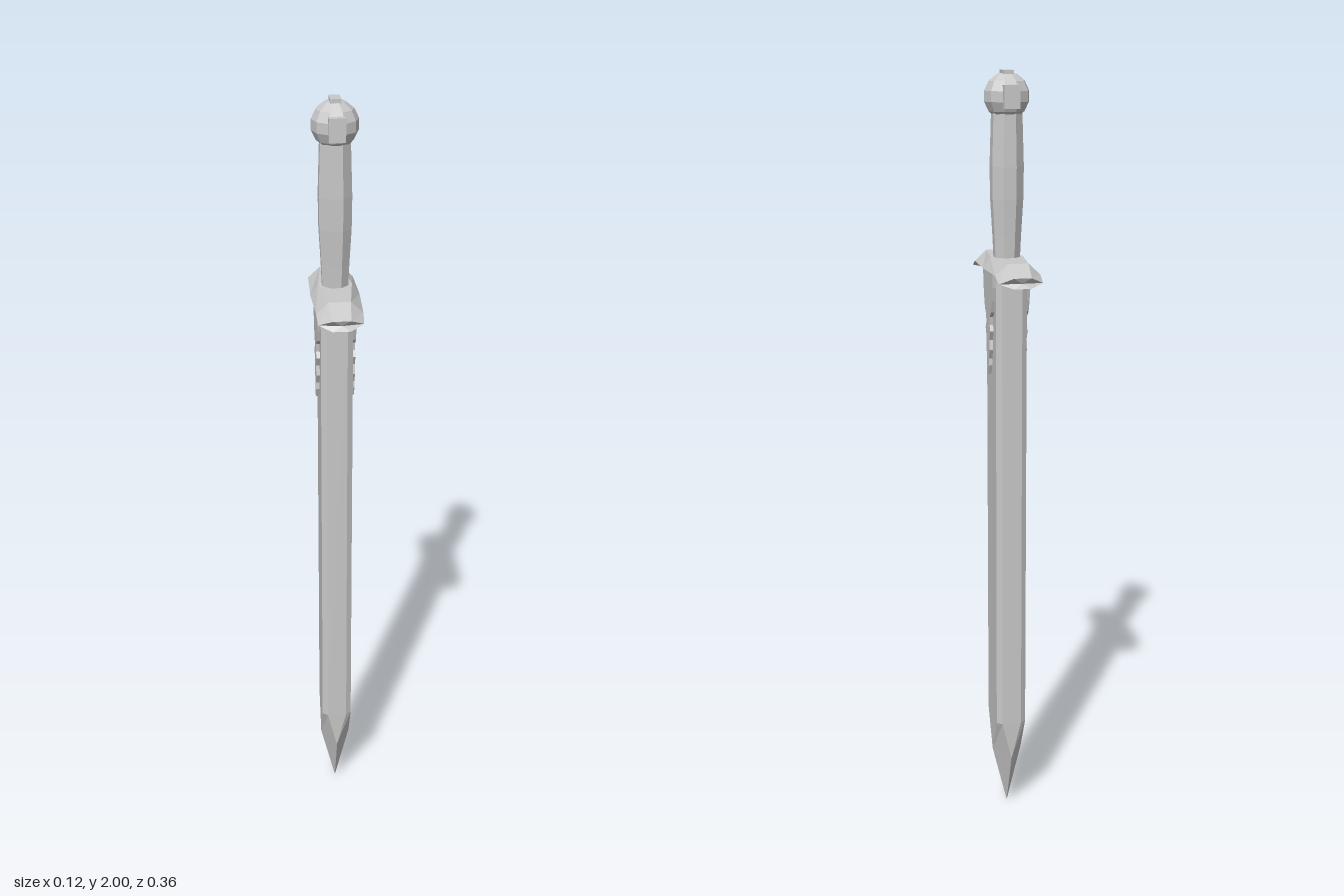
import * as THREE from 'three';

const steel = new THREE.MeshStandardMaterial({ color: 0xc8c8c8, flatShading: true });
steel.name = 'steel';

function add(group, name, geometry) {
  const mesh = new THREE.Mesh(geometry, steel);
  mesh.name = name;
  group.add(mesh);
  return mesh;
}

// Joins equal-length rings of [x, y, z] points into a closed solid
function loft(rings) {
  const pos = [];
  const tri = (...pts) => pts.forEach((p) => pos.push(...p));
  const n = rings[0].length;
  const middle = (ring) => [0, 1, 2].map((k) => ring.reduce((s, p) => s + p[k], 0) / n);
  const first = rings[0], last = rings[rings.length - 1];
  const start = middle(first), end = middle(last);
  for (let j = 0; j < n; j++) {
    const k = (j + 1) % n;
    for (let i = 0; i < rings.length - 1; i++) {
      const a = rings[i], b = rings[i + 1];
      tri(a[j], b[j], a[k]);
      tri(a[k], b[j], b[k]);
    }
    tri(start, first[j], first[k]);
    tri(end, last[k], last[j]);
  }
  const geometry = new THREE.BufferGeometry();
  geometry.setAttribute('position', new THREE.Float32BufferAttribute(pos, 3));
  geometry.computeVertexNormals();
  return geometry;
}

// Eight-sided section: broad faces at +-x, narrow edges at +-z
function bladeRing(y, x, z, flatZ, flatX) {
  return [
    [x, y, -flatZ], [x, y, flatZ], [flatX, y, z], [-flatX, y, z],
    [-x, y, flatZ], [-x, y, -flatZ], [-flatX, y, -z], [flatX, y, -z],
  ];
}

// Six-sided guard section with a narrower top and bottom
function guardRing(z, zSide, top, side, yTop, ySide, yBottom) {
  return [
    [-top, yTop, z], [top, yTop, z], [side, ySide, zSide],
    [top, yBottom, z], [-top, yBottom, z], [-side, ySide, zSide],
  ];
}

export function createModel() {
  const sword = new THREE.Group();
  sword.name = 'sword';

  // Blade: flats close to a diamond, which narrows to the point
  add(sword, 'blade', loft([
    bladeRing(0, 0.0005, 0.0005, 0, 0),
    bladeRing(0.165, 0.04, 0.063, 0.001, 0.001),
    bladeRing(0.27, 0.04, 0.065, 0.055, 0.026),
    bladeRing(1.53, 0.04, 0.065, 0.055, 0.026),
  ]));

  // Crossguard with drooping, chamfered ends
  const half = [
    [0.181, 0.16, 0.022, 0.055, 1.518, 1.502, 1.492],
    [0.125, 0.125, 0.027, 0.057, 1.545, 1.517, 1.508],
    [0, 0, 0.042, 0.061, 1.545, 1.517, 1.508],
  ];
  const stations = [
    ...half.map(([z, zs, ...rest]) => [-z, -zs, ...rest]),
    ...half.slice(0, 2).reverse(),
  ];
  add(sword, 'crossguard', loft(stations.map((s) => guardRing(...s))));

  // Wavy raised inlay on both broad faces
  const edge = [
    [0.058, 1.515], [0.055, 1.475], [0.047, 1.44], [0.037, 1.41], [0.022, 1.396],
    [0.02, 1.375], [0.029, 1.36], [0.016, 1.335], [0.022, 1.31], [0.009, 1.285],
    [0.011, 1.268],
  ];
  const outline = [
    ...edge, [0, 1.243],
    ...edge.slice().reverse().map(([x, y]) => [-x, y]),
  ].map(([x, y]) => new THREE.Vector2(x, y));
  for (const side of [-1, 1]) {
    const inlay = add(sword, side > 0 ? 'leftInlay' : 'rightInlay',
      new THREE.ExtrudeGeometry(new THREE.Shape(outline), { depth: 0.018, bevelEnabled: false }));
    inlay.rotation.y = side * Math.PI / 2;
    inlay.position.x = side * 0.031;
  }

  // Eight-sided grip, swelling above the middle
  const profile = [[0.031, 1.53], [0.034, 1.6], [0.039, 1.69], [0.04, 1.77], [0.036, 1.91]];
  add(sword, 'grip', loft(profile.map(([r, y]) => bladeRing(y, r, r, r * 0.414, r * 0.414))));

  // Faceted round pommel with end plates and a top stud
  const pommel = new THREE.Group();
  pommel.name = 'pommel';
  pommel.position.y = 1.938;
  add(pommel, 'pommelBall', new THREE.SphereGeometry(0.058, 10, 7));
  for (const side of [-1, 1]) {
    const plate = add(pommel, side > 0 ? 'frontPlate' : 'backPlate',
      new THREE.BoxGeometry(0.04, 0.056, 0.02));
    plate.position.z = side * 0.055;
  }
  add(pommel, 'topStud', new THREE.BoxGeometry(0.026, 0.02, 0.044)).position.y = 0.052;
  sword.add(pommel);

  return sword;
}
